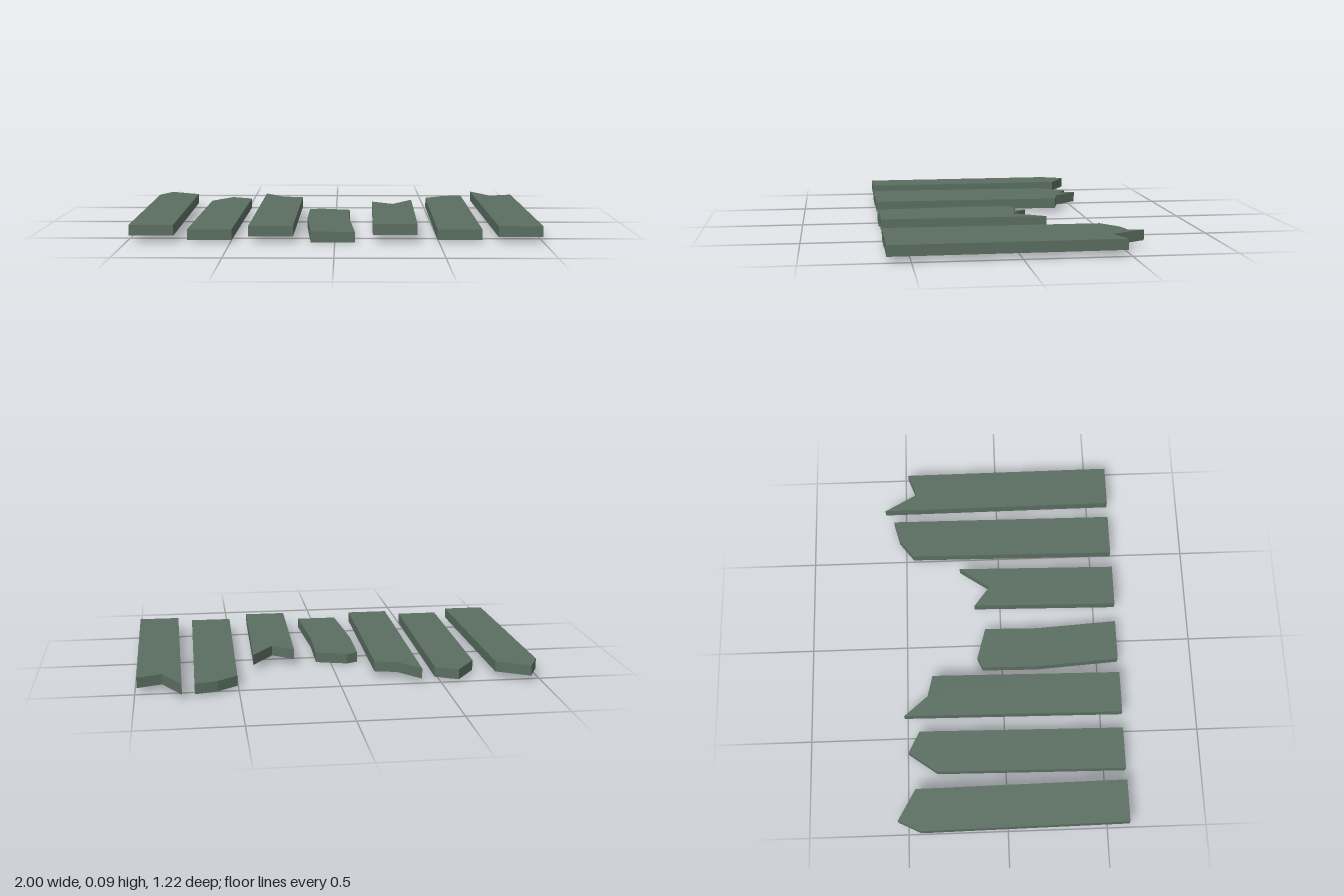
import * as THREE from 'three';

const THICKNESS = 0.052;
const FRONT = 0.61; // all boards are cut straight along this z

// Each board: bottom height, then its outline from the front left corner,
// round the broken back end, to the front right corner, as [x, z].
const BOARDS = [
  [0.032, [[-0.987, FRONT], [-1.0, -0.435], [-0.943, -0.55], [-0.785, -0.46], [-0.773, FRONT]]],
  [0.01, [[-0.708, FRONT], [-0.695, -0.35], [-0.59, -0.495], [-0.48, -0.438], [-0.495, FRONT]]],
  [0.028, [[-0.414, FRONT], [-0.4, -0.515], [-0.297, -0.393], [-0.187, -0.366], [-0.2, FRONT]]],
  [0, [[-0.115, FRONT], [-0.144, 0.18], [-0.14, -0.103], [-0.083, -0.128], [0.075, -0.083],
    [0.07, 0.19], [0.096, FRONT]]],
  [0.037, [[0.182, FRONT], [0.195, -0.136], [0.302, -0.053], [0.41, -0.21], [0.396, FRONT]]],
  [0.012, [[0.492, FRONT], [0.505, -0.46], [0.604, -0.535], [0.714, -0.564], [0.706, FRONT]]],
  [0.028, [[0.783, FRONT], [0.775, -0.61], [0.869, -0.44], [0.99, -0.484], [0.996, FRONT]]],
];

// Flat slab with the given outline, lying on its side in the xz plane
function boardGeometry(outline) {
  const shape = new THREE.Shape(outline.map(([x, z]) => new THREE.Vector2(x, -z)));
  const geometry = new THREE.ExtrudeGeometry(shape, { depth: THICKNESS, bevelEnabled: false });
  return geometry.rotateX(-Math.PI / 2);
}

export function createModel() {
  const model = new THREE.Group();
  model.name = 'brokenBoards';
  const wood = new THREE.MeshStandardMaterial({ color: 0x5a6e60 });
  wood.name = 'weatheredGreenWood';

  BOARDS.forEach(([bottom, outline], i) => {
    const board = new THREE.Mesh(boardGeometry(outline), wood);
    board.name = `board${i + 1}`;
    board.position.y = bottom;
    model.add(board);
  });
  return model;
}
